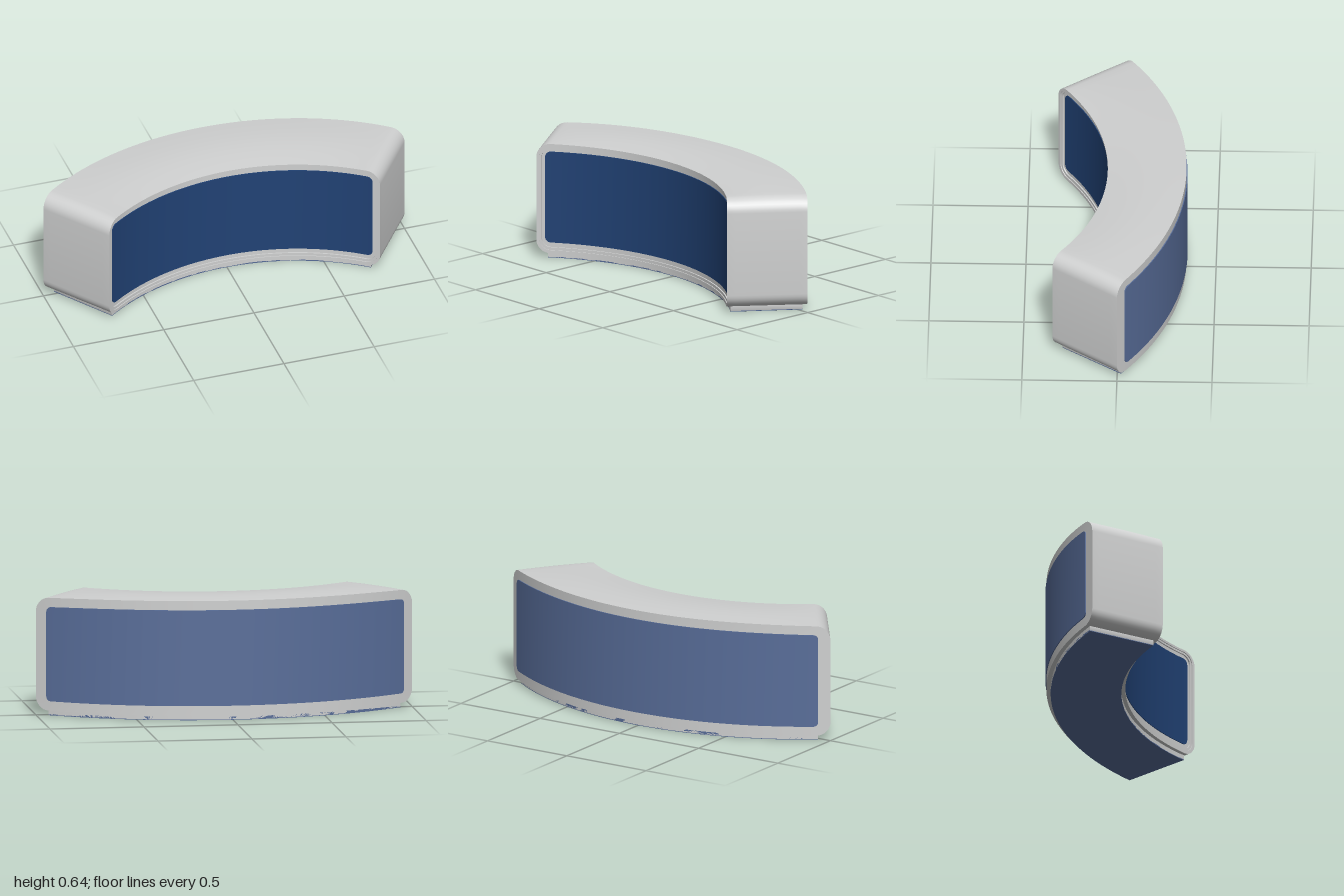
import * as THREE from 'three';
import { toCreasedNormals } from 'three/addons/utils/BufferGeometryUtils.js';

const make = (name, color) => {
  const m = new THREE.MeshStandardMaterial({ color });
  m.name = name;
  return m;
};

// Bent space: s runs along the arc (-1..1), u from the inner front (0) to the outer back (1).
function bend(s, u, y) {
  const a = s * 0.703, b = s * 0.6645;
  const x = THREE.MathUtils.lerp(1.16 * Math.sin(a), 1.622 * Math.sin(b), u);
  const z = THREE.MathUtils.lerp(1.23 - 1.16 * Math.cos(a), 1.277 - 1.622 * Math.cos(b), u);
  return [x, y, z];
}

// Gentle crown of the top surface, fading towards the ends.
const crown = (s, u) => (0.012 * u + 0.012 * Math.sin(Math.PI * Math.min(u, 1))) * (1 - s ** 4);

// Rounded rectangle in (s, y): top points left to right, bottom points back again.
function ring({ s: half, y0, y1, r, u }) {
  const rs = r / (0.82 + 0.26 * u), top = [], bottom = [];
  const add = (s, drop) => {
    top.push(bend(s, u, y1 - drop + crown(s, u)));
    bottom.unshift(bend(s, u, y0 + drop));
  };
  const corner = 8, span = 40;
  for (let i = 0; i <= corner; i++) {
    const t = (i / corner) * Math.PI / 2;
    add(-half + rs * (1 - Math.cos(t)), r * (1 - Math.sin(t)));
  }
  for (let i = 1; i < span; i++) add((half - rs) * (2 * i / span - 1), 0);
  for (let i = corner; i >= 0; i--) {
    const t = (i / corner) * Math.PI / 2;
    add(half - rs * (1 - Math.cos(t)), r * (1 - Math.sin(t)));
  }
  return top.concat(bottom);
}

// Skin a row of rings from front to back, with optional end faces.
function loft(stations, capped) {
  const rings = stations.map(ring), n = rings[0].length, pos = [];
  const quad = (a, b, c, d) => pos.push(...a, ...b, ...c, ...a, ...c, ...d);
  for (let j = 0; j + 1 < rings.length; j++) {
    for (let i = 0; i < n; i++) {
      const k = (i + 1) % n;
      quad(rings[j][i], rings[j][k], rings[j + 1][k], rings[j + 1][i]);
    }
  }
  if (capped) {
    const f = rings[0], b = rings[rings.length - 1];
    for (let i = 0; i + 1 < n / 2; i++) {
      quad(f[n - 1 - i], f[n - 2 - i], f[i + 1], f[i]);
      quad(b[n - 2 - i], b[n - 1 - i], b[i], b[i + 1]);
    }
  }
  const g = new THREE.BufferGeometry();
  g.setAttribute('position', new THREE.Float32BufferAttribute(pos, 3));
  return toCreasedNormals(g, 0.5);
}

export function createModel() {
  const shell = make('pale grey', 0xcfd0d0);
  const navy = make('navy blue', 0x214275);
  const slate = make('slate blue', 0x586d99);

  const group = new THREE.Group();
  group.name = 'curvedCounter';
  const part = (name, material, stations, capped = true) => {
    const mesh = new THREE.Mesh(loft(stations, capped), material);
    mesh.name = name;
    group.add(mesh);
  };
  const st = (s, y0, y1, r, u) => ({ s, y0, y1, r, u });

  // Shell: stepped front rim, crowned body, flat back frame
  const body = [
    st(0.94, 0.085, 0.58, 0.03, 0.03),
    st(0.967, 0.06, 0.602, 0.05, 0.03),
    st(0.967, 0.06, 0.602, 0.05, 0.012),
    st(0.98, 0.045, 0.613, 0.06, 0.012),
    st(0.98, 0.045, 0.613, 0.06, 0),
  ];
  for (let i = 0; i <= 10; i++) body.push(st(1, 0.028, 0.625, 0.075, i / 10));
  body.push(st(0.92, 0.095, 0.56, 0.02, 1));
  part('shell', shell, body, false);

  // Inset front panel and raised back panel
  part('frontPanel', navy, [st(0.945, 0.085, 0.58, 0.03, 0.02), st(0.945, 0.085, 0.58, 0.03, 0.035)]);
  part('backPanel', slate, [st(0.94, 0.079, 0.576, 0.025, 0.99), st(0.94, 0.079, 0.576, 0.025, 1.012)]);

  // Plinth with its coloured underside
  part('plinth', shell, [st(0.93, 0.003, 0.04, 0.001, 0.05), st(0.94, 0.003, 0.04, 0.001, 0.945)]);
  part('plinthUnderside', slate, [st(0.93, 0, 0.004, 0.001, 0.05), st(0.94, 0, 0.004, 0.001, 0.945)]);

  return group;
}
